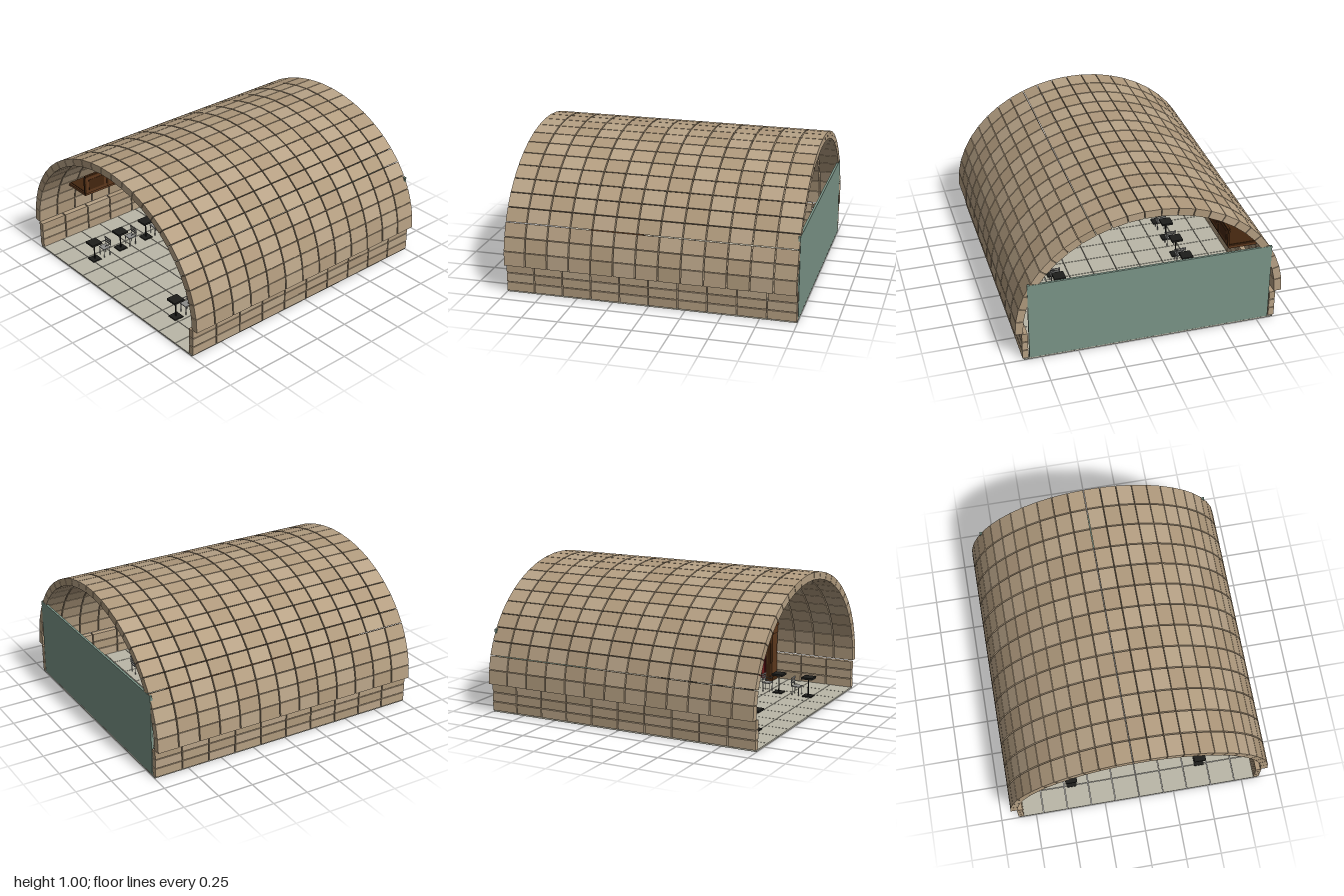
import * as THREE from 'three';

const mat = (color, opts = {}) => new THREE.MeshStandardMaterial({ color, ...opts });
const stones = [0xb59f82, 0xaf997c, 0xb8a387].map((c) => mat(c));
const wood = mat(0x5e381c);
const darkWood = mat(0x43260f);
const black = mat(0x1d1d1b);
const metal = mat(0x8c8c8a);
const green = mat(0x7a9487);
const tileMat = mat(0xbab7a8);
const red = mat(0x6e1a1c, { side: THREE.DoubleSide });
const cream = mat(0xe8dcb8);

function add(parent, name, geometry, material, x = 0, y = 0, z = 0) {
  const mesh = new THREE.Mesh(geometry, material);
  mesh.name = name;
  mesh.position.set(x, y, z);
  parent.add(mesh);
  return mesh;
}
const box = (parent, name, m, w, h, d, x, y, z) =>
  add(parent, name, new THREE.BoxGeometry(w, h, d), m, x, y, z);

function group(parent, name) {
  const g = new THREE.Group();
  g.name = name;
  parent.add(g);
  return g;
}

// Elliptical barrel vault: 25 wedge stones around, 13 rings deep, with open joints
function buildVault(root) {
  const vault = group(root, 'vault');
  const around = 25, rings = 13, pitch = 2 / rings, gap = 0.008, spring = 0.21;
  const point = (rx, ry, t) => new THREE.Vector2(rx * Math.cos(t), spring + ry * Math.sin(t));
  for (let i = 0; i < around; i++) {
    const a = (i / around) * Math.PI + (i ? 0.003 : 0);
    const b = ((i + 1) / around) * Math.PI - (i < around - 1 ? 0.003 : 0);
    const wedge = new THREE.Shape([
      point(0.92, 0.79, a), point(0.92, 0.79, b), point(0.868, 0.738, b), point(0.868, 0.738, a),
    ]);
    const front = i % 2;
    const geometry = new THREE.ExtrudeGeometry(wedge, { depth: pitch - gap, bevelEnabled: false });
    for (let r = 0; r < rings; r++) {
      add(vault, 'vaultStone', geometry, stones[(i * 2 + r * 5 + front) % 3], 0, 0, -1 + r * pitch + gap / 2);
    }
  }
}

// Low side walls: three courses of ten stones each
function buildWalls(root) {
  const walls = group(root, 'sideWalls');
  const geometry = new THREE.BoxGeometry(0.04, 0.06, 0.192);
  for (const side of [-1, 1])
    for (let c = 0; c < 3; c++)
      for (let i = 0; i < 10; i++)
        add(walls, 'wallStone', geometry, stones[(i + c * 2) % 3], side * 0.857, 0.042 + c * 0.066, -0.9 + i * 0.2);
}

// Tiled floor
function buildFloor(root) {
  const floor = group(root, 'floor');
  const nx = 10, nz = 12, w = 1.74 / nx, d = 2 / nz;
  const geometry = new THREE.BoxGeometry(w - 0.004, 0.01, d - 0.004);
  for (let i = 0; i < nx; i++)
    for (let j = 0; j < nz; j++)
      add(floor, 'floorTile', geometry, tileMat, -0.87 + (i + 0.5) * w, 0.005, -1 + (j + 0.5) * d);
}

// Back wall with a row of small lights
function buildBackWall(root) {
  box(root, 'backWall', green, 1.66, 0.575, 0.015, 0, 0.2925, -0.99);
  const bulb = new THREE.SphereGeometry(0.008, 12, 8);
  for (let i = 0; i < 6; i++) add(root, 'wallLight', bulb, cream, -0.668 + i * 0.267, 0.483, -0.977);
}

// Pedestal table, with its chair just behind it
function buildSeating(root, x, z) {
  const set = group(root, 'tableAndChair');
  set.position.set(x, 0.01, z);
  box(set, 'tableTop', black, 0.084, 0.014, 0.084, 0, 0.138, 0);
  add(set, 'tablePost', new THREE.CylinderGeometry(0.005, 0.005, 0.13, 8), black, 0, 0.068, 0);
  box(set, 'tableBase', black, 0.07, 0.008, 0.07, 0, 0.004, 0);

  const chair = group(set, 'chair');
  chair.position.z = -0.09;
  box(chair, 'chairSeat', metal, 0.062, 0.006, 0.06, 0, 0.066, 0);
  const leg = new THREE.CylinderGeometry(0.003, 0.003, 0.066, 6);
  for (const sx of [-1, 1]) {
    for (const sz of [-1, 1]) add(chair, 'chairLeg', leg, metal, sx * 0.026, 0.033, sz * 0.025);
    const post = add(chair, 'backPost', leg, metal, sx * 0.031, 0.098, -0.03);
    post.rotation.z = -sx * 0.15;
    box(chair, 'armrest', metal, 0.006, 0.004, 0.05, sx * 0.033, 0.095, -0.008);
  }
  for (const y of [0.09, 0.107, 0.124]) box(chair, 'backSlat', metal, 0.066, 0.01, 0.004, 0, y, -0.031);
}

// Balcony on the right-hand wall with a panelled parapet and two light bars
function buildBalcony(root) {
  const balcony = group(root, 'balcony');
  const length = 1.52;
  box(balcony, 'balconyDeck', wood, 0.21, 0.02, length, -0.722, 0.456, 0);
  box(balcony, 'deckTrim', darkWood, 0.2, 0.008, length - 0.02, -0.727, 0.468, 0);
  box(balcony, 'parapet', wood, 0.008, 0.13, length, -0.613, 0.53, 0);
  box(balcony, 'handrail', darkWood, 0.018, 0.012, length, -0.613, 0.6, 0);
  const panels = 8, step = length / panels;
  for (let i = 0; i <= panels; i++)
    box(balcony, 'parapetPost', darkWood, 0.014, 0.13, 0.014, -0.613, 0.53, -length / 2 + i * step);
  for (let i = 0; i < panels; i++)
    box(balcony, 'parapetPanel', darkWood, 0.012, 0.08, step - 0.06, -0.613, 0.53, -length / 2 + (i + 0.5) * step);
  for (const z of [-0.54, 0.54]) {
    const lamp = box(balcony, 'lightBar', black, 0.046, 0.022, 0.22, -0.592, 0.672, z);
    lamp.rotation.z = 0.35;
  }
}

// Wooden doorway on the left-hand wall with a stepped cornice and a pleated curtain
function buildDoorway(root) {
  const door = group(root, 'doorway');
  door.position.z = 0.24;
  for (const s of [-1, 1]) {
    box(door, 'doorPost', wood, 0.09, 0.42, 0.05, 0.79, 0.22, s * 0.14);
    box(door, 'postFillet', darkWood, 0.012, 0.36, 0.026, 0.745, 0.19, s * 0.14);
    box(door, 'postPlinth', darkWood, 0.1, 0.03, 0.06, 0.79, 0.025, s * 0.14);
  }
  box(door, 'lintel', wood, 0.09, 0.06, 0.34, 0.79, 0.4, 0);
  [[0.725, 0.835, 0.44, 0.018, 0.36], [0.735, 0.83, 0.46, 0.014, 0.35], [0.735, 0.81, 0.48, 0.02, 0.34]]
    .forEach(([x0, x1, y, h, d], i) =>
      box(door, 'corniceStep', i % 2 ? darkWood : wood, x1 - x0, h, d, (x0 + x1) / 2, y, 0));
  box(door, 'doorBacking', darkWood, 0.012, 0.4, 0.32, 0.828, 0.21, 0);

  const curtain = new THREE.PlaneGeometry(0.23, 0.36, 64, 1);
  const p = curtain.attributes.position;
  for (let i = 0; i < p.count; i++) p.setZ(i, 0.008 * Math.sin((p.getX(i) / 0.23) * Math.PI * 16));
  curtain.computeVertexNormals();
  add(door, 'curtain', curtain, red, 0.795, 0.19, 0).rotation.y = -Math.PI / 2;
}

export function createModel() {
  const root = new THREE.Group();
  root.name = 'vaultedHall';
  buildVault(root);
  buildWalls(root);
  buildFloor(root);
  buildBackWall(root);
  buildBalcony(root);
  buildDoorway(root);
  for (const x of [-0.467, 0.467])
    for (let i = 0; i < 6; i++) buildSeating(root, x, 0.81 - i * 0.23);
  return root;
}
